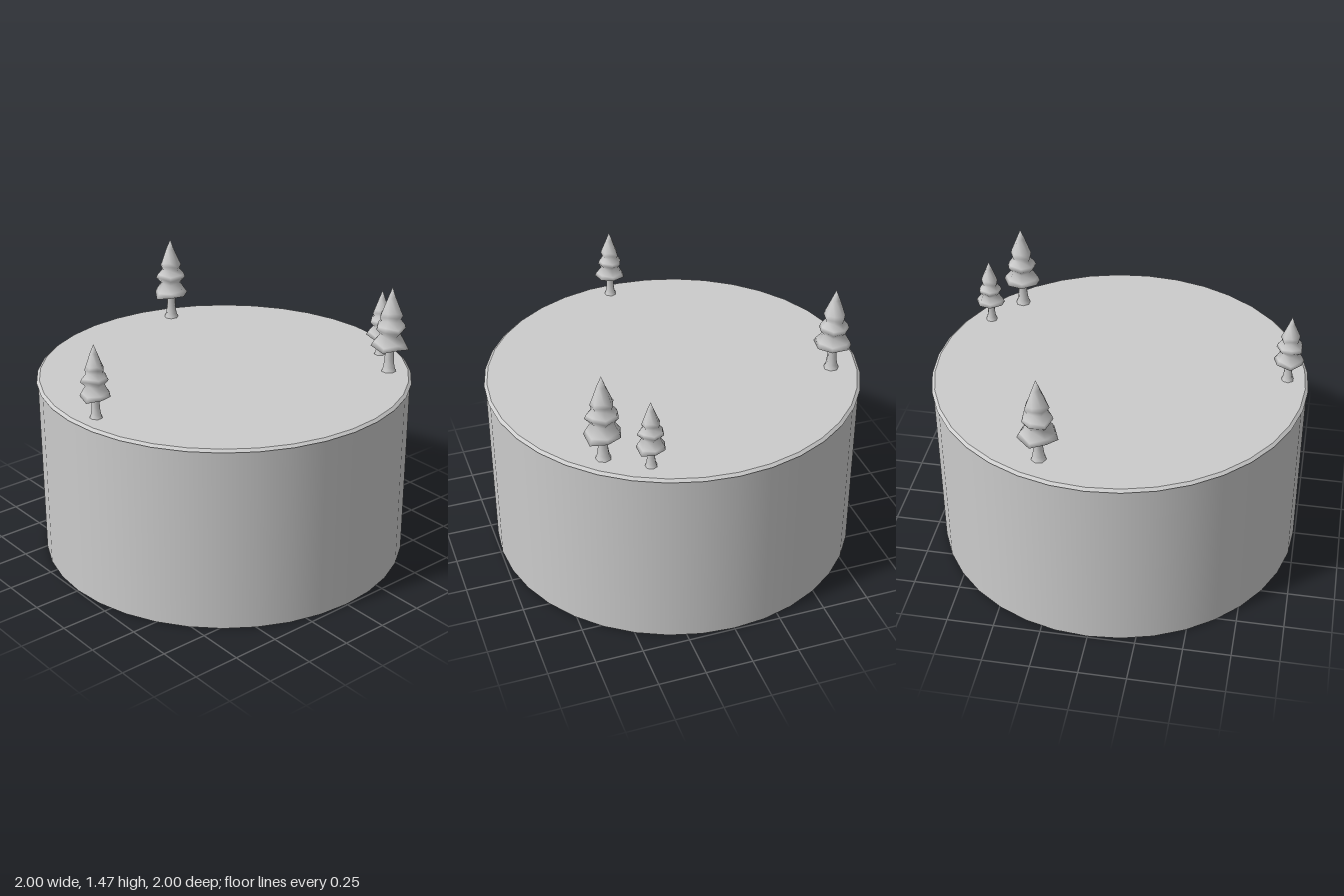
import * as THREE from 'three';
import { mergeVertices } from 'three/addons/utils/BufferGeometryUtils.js';

const material = new THREE.MeshStandardMaterial({ color: 0xcccccc });
const SIDES = 7;

function part(name, geometry, y = 0) {
  const mesh = new THREE.Mesh(geometry, material);
  mesh.name = name;
  mesh.position.y = y;
  return mesh;
}

// Low-poly lathe; wave(angle, y, r) returns [radius scale, height offset]
function lathe(profile, wave) {
  let g = new THREE.LatheGeometry(profile.map(([r, y]) => new THREE.Vector2(r, y)), SIDES);
  g.deleteAttribute('uv');
  g.deleteAttribute('normal');
  g = mergeVertices(g, 1e-5);
  const p = g.attributes.position;
  for (let i = 0; i < p.count; i++) {
    const x = p.getX(i), y = p.getY(i), z = p.getZ(i);
    const [s, dy] = wave(Math.atan2(z, x), y, Math.hypot(x, z));
    p.setXYZ(i, x * s, y + dy, z * s);
  }
  g.computeVertexNormals();
  return g;
}

// Three drooping tiers with uneven skirts
const foliage = lathe([
  [0, 0.165], [0.075, 0.142], [0.1, 0.143], [0.088, 0.168], [0.058, 0.212],
  [0.083, 0.243], [0.075, 0.262], [0.05, 0.292],
  [0.06, 0.315], [0.052, 0.335], [0.022, 0.415], [0, 0.47],
], (a, y, r) => {
  const wave = Math.sin(3 * a + y * 25) + 0.6 * Math.cos(a - y * 14);
  return [1 + 0.06 * Math.cos(2 * a + y * 30), -wave * 0.1 * r];
});

// Flared trunk
const trunk = lathe([[0.04, 0], [0.031, 0.025], [0.025, 0.07], [0.025, 0.165]], () => [1, 0]);

function tree(x, z, scale, turn) {
  const group = new THREE.Group();
  group.name = 'tree';
  group.add(part('trunk', trunk), part('foliage', foliage));
  group.position.set(x, 0.997, z);
  group.scale.setScalar(scale);
  group.rotation.y = turn;
  return group;
}

export function createModel() {
  const model = new THREE.Group();
  model.name = 'roundPlatform';

  // Drum with a thin bevelled rim
  model.add(part('drum', new THREE.CylinderGeometry(0.992, 0.992, 0.985, 36), 0.4925));
  model.add(part('rim', new THREE.CylinderGeometry(0.984, 1, 0.013, 36), 0.9905));

  // x, z, scale, turn
  const trees = [
    [-0.805, -0.265, 1, 0],
    [0.58, -0.66, 1, 2.2],
    [0.38, -0.795, 0.78, 2.2],
    [0.075, 0.885, 0.83, 0.4],
  ];
  for (const t of trees) model.add(tree(...t));
  return model;
}
